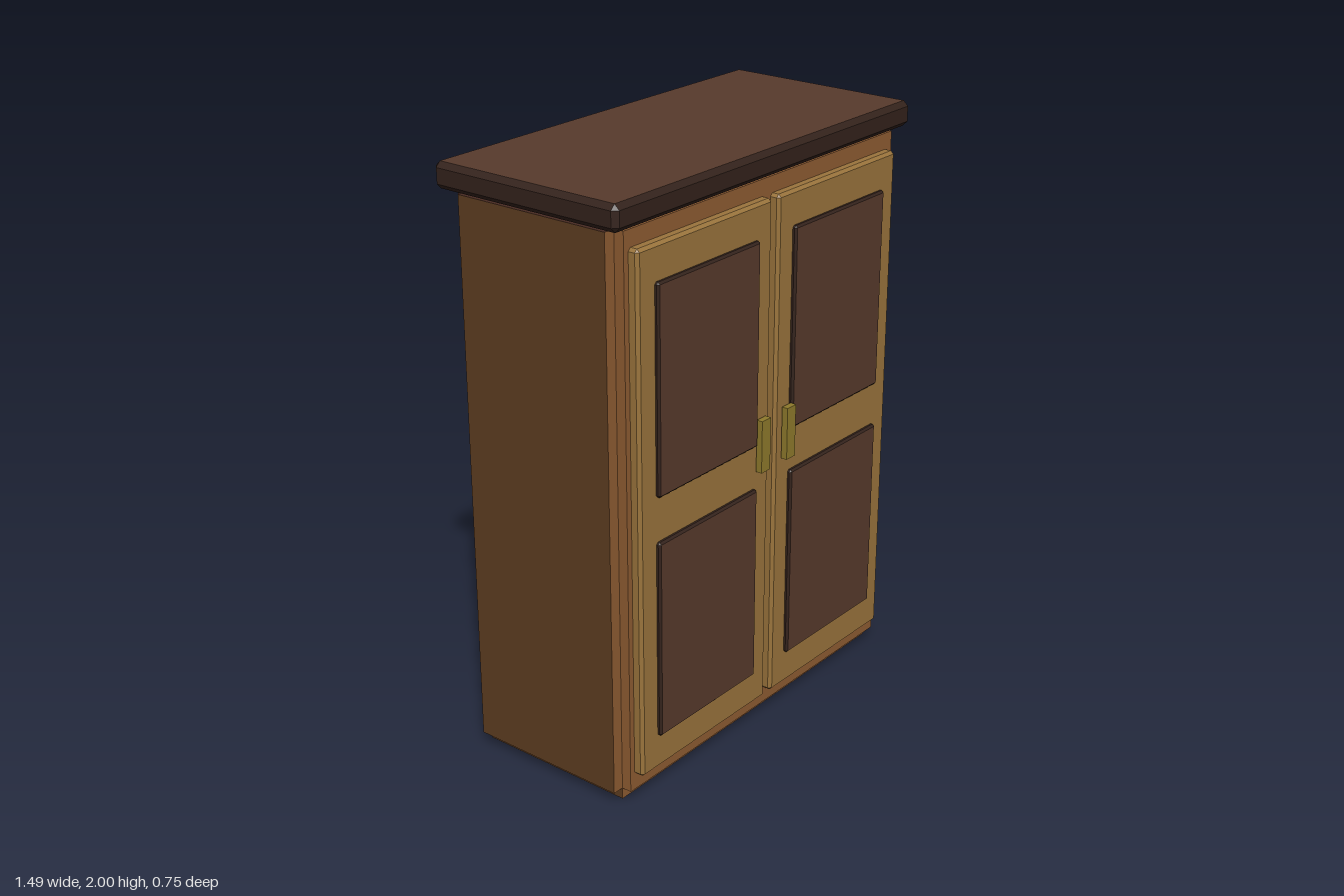
import * as THREE from 'three';
import { ConvexGeometry } from 'three/addons/geometries/ConvexGeometry.js';

const mat = (color) => new THREE.MeshStandardMaterial({ color });
const wood = mat(0x8f5c32);
const sideWood = mat(0x5e3d20);
const darkWood = mat(0x472a21);
const trim = mat(0x33221b);
const panelWood = mat(0x573a2c);
const doorWood = mat(0x9a743c);
const brass = mat(0x8f7a2c);

// Ranges are [min, max] on each axis
const mid = (r) => (r[0] + r[1]) / 2;
const len = (r) => r[1] - r[0];

function box(name, x, y, z, material) {
  const mesh = new THREE.Mesh(new THREE.BoxGeometry(len(x), len(y), len(z)), material);
  mesh.position.set(mid(x), mid(y), mid(z));
  mesh.name = name;
  return mesh;
}

// Box with every edge chamfered by b; the face towards `axis` takes faceMat
function chamferBox(name, x, y, z, b, axis, faceMat, edgeMat) {
  const h = [len(x) / 2, len(y) / 2, len(z) / 2];
  const points = [];
  for (const sx of [-1, 1]) for (const sy of [-1, 1]) for (const sz of [-1, 1])
    for (let full = 0; full < 3; full++) {
      const p = [sx, sy, sz].map((s, i) => s * (h[i] - (i === full ? 0 : b)));
      points.push(new THREE.Vector3(...p));
    }
  const geometry = new ConvexGeometry(points);
  const normal = new THREE.Vector3();
  const normals = geometry.attributes.normal;
  for (let i = 0; i < normals.count; i += 3) {
    normal.fromBufferAttribute(normals, i);
    geometry.addGroup(i, 3, normal.dot(axis) > 0.95 ? 0 : 1);
  }
  const mesh = new THREE.Mesh(geometry, [faceMat, edgeMat]);
  mesh.position.set(mid(x), mid(y), mid(z));
  mesh.name = name;
  return mesh;
}

export function createModel() {
  const cabinet = new THREE.Group();
  cabinet.name = 'wardrobe';
  const up = new THREE.Vector3(0, 1, 0);
  const front = new THREE.Vector3(0, 0, 1);

  // Carcass: crossed boxes leave a stepped notch along every edge
  const carcass = new THREE.Group();
  carcass.name = 'carcass';
  const body = [-0.68, 0.68], depth = [-0.3, 0.275], height = [0.04, 1.905];
  const core = box('core', body, [0, 1.93], depth,
    [darkWood, sideWood, darkWood, darkWood, wood, darkWood]);
  carcass.add(
    core,
    box('rightPanel', [-0.72, -0.68], height, depth,
      [sideWood, sideWood, darkWood, darkWood, wood, darkWood]),
    box('leftPanel', [0.68, 0.715], height, depth,
      [darkWood, darkWood, darkWood, darkWood, wood, darkWood]),
    box('frontFrame', body, height, [0.275, 0.31], wood),
    box('backPanel', body, height, [-0.34, -0.3], darkWood),
  );
  cabinet.add(carcass);

  // Overhanging top
  cabinet.add(chamferBox('cornice', [-0.747, 0.743], [1.915, 2], [-0.375, 0.34],
    0.017, up, panelWood, trim));

  // Two doors, each with two raised panels and a handle
  for (const s of [-1, 1]) {
    const door = new THREE.Group();
    door.name = s < 0 ? 'rightDoor' : 'leftDoor';
    const span = (a, b) => (s < 0 ? [-b - 0.003, -a - 0.003] : [a - 0.003, b - 0.003]);
    door.add(chamferBox('doorLeaf', span(0.016, 0.657), [0.095, 1.85], [0.3, 0.344],
      0.01, front, doorWood, doorWood));
    for (const y of [[0.215, 0.9], [1.05, 1.735]])
      door.add(chamferBox('raisedPanel', span(0.09, 0.582), y, [0.33, 0.358],
        0.007, front, panelWood, trim));
    door.add(box('handle', span(0.045, 0.09), [0.96, 1.14], [0.35, 0.372], brass));
    cabinet.add(door);
  }
  return cabinet;
}
